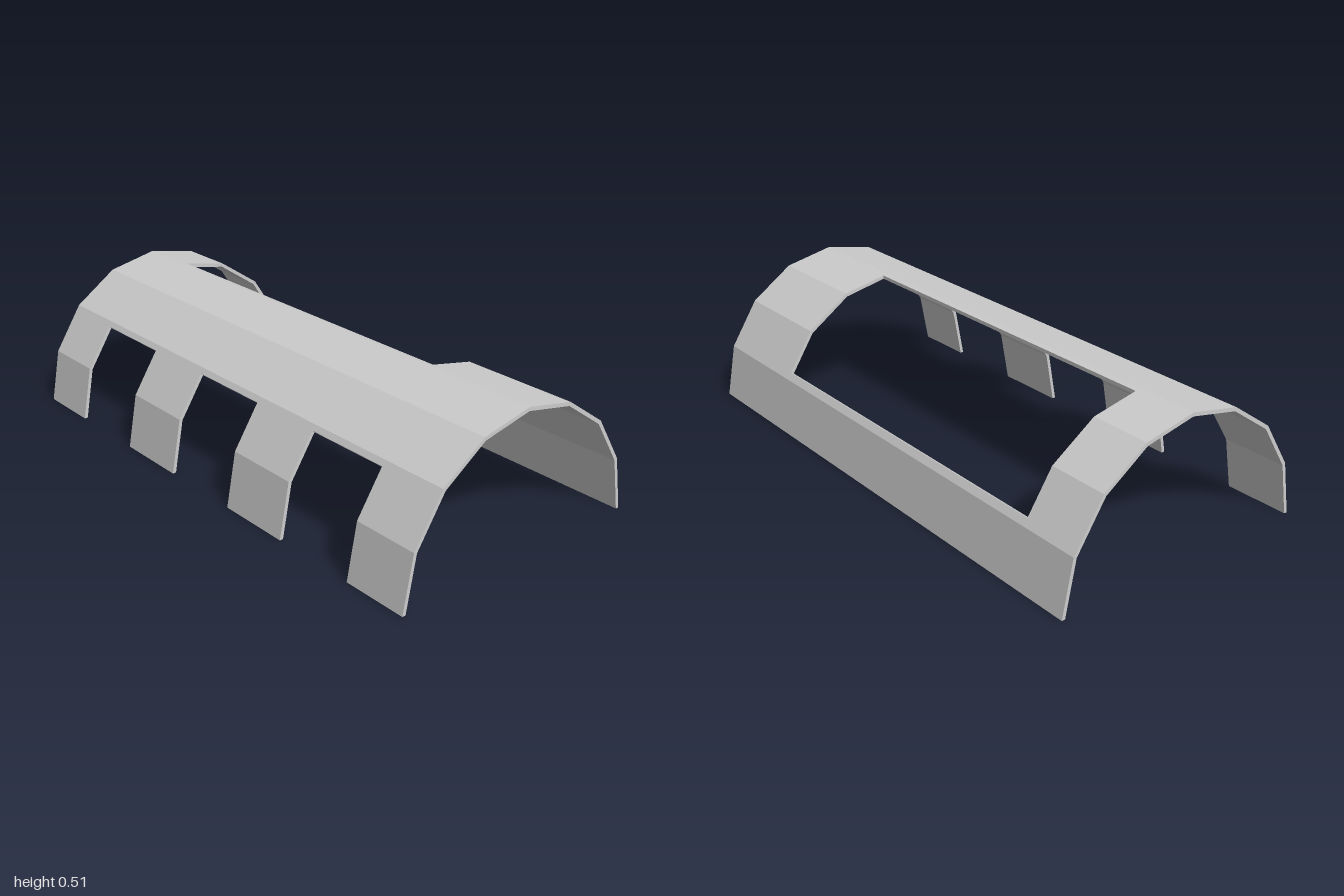
import * as THREE from 'three';

const RX = 0.5, RY = 0.515, INNER = 0.974, PANELS = 8;

// Fold points of the arch, from the right foot (-x) over the ridge to the left foot (+x).
// Fractional steps lie on the flat panel between two folds.
function archPoint(step, scale) {
  const fold = (k) => {
    const a = Math.PI * (1 - k / PANELS);
    return new THREE.Vector2(RX * Math.cos(a), RY * Math.sin(a));
  };
  const k = Math.min(Math.floor(step), PANELS - 1);
  return fold(k).lerp(fold(k + 1), step - k).multiplyScalar(scale);
}

// Cut lines: top of the notches, upper and lower edge of the window
const NOTCH_TOP = 1.89, WINDOW_TOP = 4.105, WINDOW_BOTTOM = 6.86;
const steps = [0, 1, NOTCH_TOP, 2, 3, 4, WINDOW_TOP, 5, 6, WINDOW_BOTTOM, 7, 8];
const zs = [-1, -0.78, -0.76, -0.44, -0.16, 0.16, 0.44, 0.58, 0.76, 1];

// True where the shell has material
function solid(i, j) {
  if (i < 0 || j < 0 || i >= steps.length - 1 || j >= zs.length - 1) return false;
  const s = (steps[i] + steps[i + 1]) / 2;
  const z = (zs[j] + zs[j + 1]) / 2;
  const inWindow = s > WINDOW_TOP && s < WINDOW_BOTTOM && z > -0.78 && z < 0.58;
  const inNotch = s < NOTCH_TOP && [-0.6, 0, 0.6].some((c) => Math.abs(z - c) < 0.16);
  return !inWindow && !inNotch;
}

function shellGeometry() {
  const positions = [];
  const quad = (a, b, c, d) => {
    for (const p of [a, b, c, a, c, d]) positions.push(...p);
  };
  const point = (i, j, scale) => {
    const p = archPoint(steps[i], scale);
    return [p.x, p.y, zs[j]];
  };
  const out = (i, j) => point(i, j, 1);
  const inn = (i, j) => point(i, j, INNER);

  for (let i = 0; i < steps.length - 1; i++) {
    for (let j = 0; j < zs.length - 1; j++) {
      if (!solid(i, j)) continue;
      const I = i + 1, J = j + 1;
      // outer and inner skin
      quad(out(i, j), out(i, J), out(I, J), out(I, j));
      quad(inn(i, j), inn(I, j), inn(I, J), inn(i, J));
      // rims along open borders
      if (!solid(i, J)) quad(out(i, J), inn(i, J), inn(I, J), out(I, J));
      if (!solid(i, j - 1)) quad(out(i, j), out(I, j), inn(I, j), inn(i, j));
      if (!solid(i - 1, j)) quad(out(i, j), inn(i, j), inn(i, J), out(i, J));
      if (!solid(I, j)) quad(out(I, j), out(I, J), inn(I, J), inn(I, j));
    }
  }
  const geometry = new THREE.BufferGeometry();
  geometry.setAttribute('position', new THREE.Float32BufferAttribute(positions, 3));
  geometry.computeVertexNormals();
  return geometry;
}

export function createModel() {
  const group = new THREE.Group();
  group.name = 'archedCover';
  // Faceted shell with a window on the left and four legs on the right
  const shell = new THREE.Mesh(
    shellGeometry(),
    new THREE.MeshStandardMaterial({ color: 0xcccccc, flatShading: true })
  );
  shell.name = 'archedShell';
  group.add(shell);
  return group;
}
